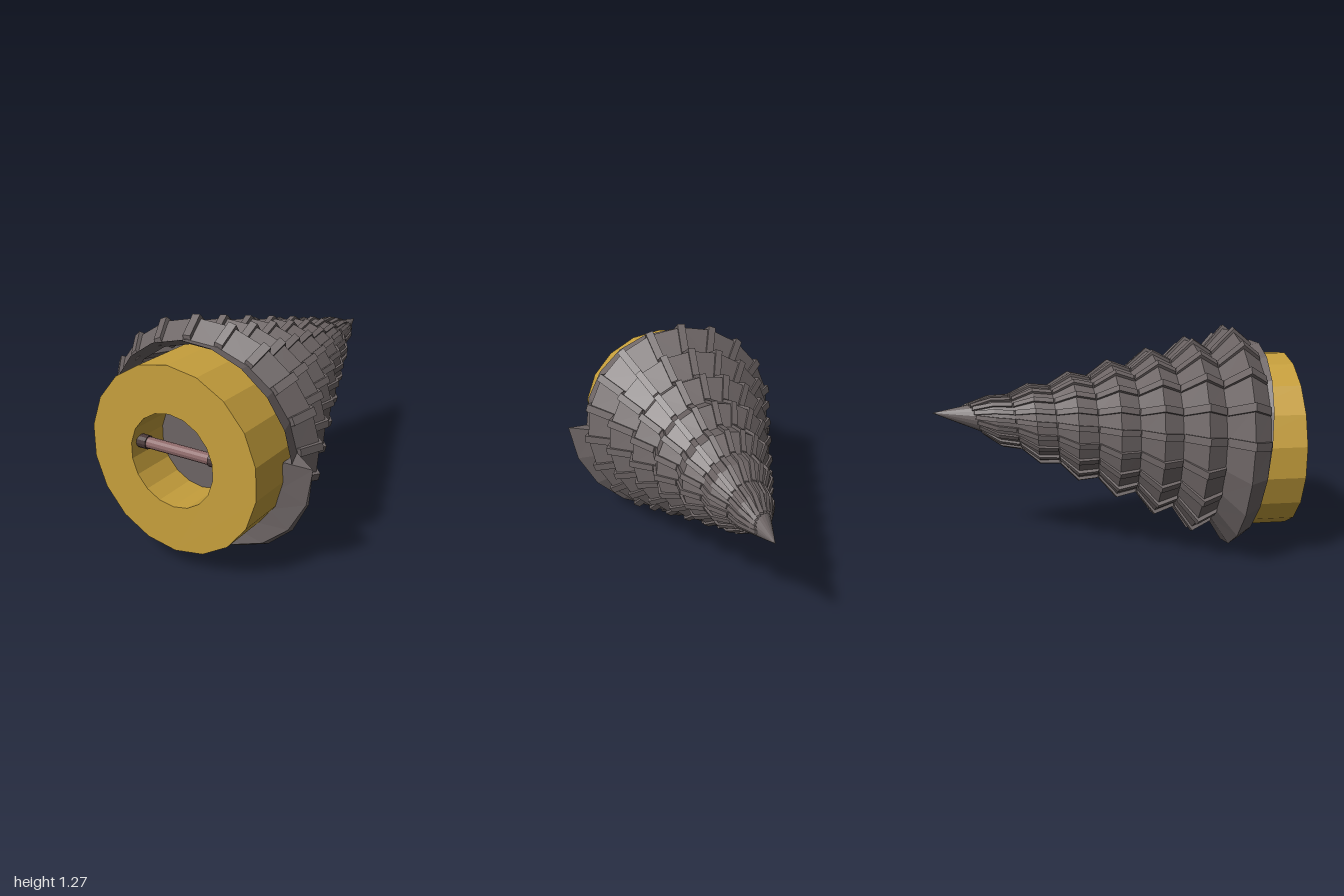
import * as THREE from 'three';

const STEPS = 19;          // facets (and ribs) per turn of the thread
const TURNS = 7;
const PITCH = 0.22;
const RIM = 1.785;         // distance from the tip to the open rim
const valleyR = w => 0.308 * w;
const crestR = w => 0.373 * w;

const mat = (color, side = THREE.FrontSide) =>
  new THREE.MeshStandardMaterial({ color, side, flatShading: true });

function add(parent, name, geometry, material) {
  const mesh = new THREE.Mesh(geometry, material);
  mesh.name = name;
  parent.add(mesh);
  return mesh;
}

// Thread cross-section after u turns, as [distance from tip, radius] from rim to tip
function profile(u) {
  const c = RIM - PITCH * u, h = PITCH / 2;
  const crest = [c, crestR(c)], back = [c - h, valleyR(c - h)];
  const k = Math.min(1, (RIM - c) / h);   // the first half turn is cut flat at the rim
  const front = [c + h * k, THREE.MathUtils.lerp(crestR(c), valleyR(c + h), k)];
  return { crest, back, front };
}

// Helical skin swept from the rim to the tip
function threadGeometry() {
  const pos = [], index = [], rows = STEPS * TURNS;
  for (let i = 0; i <= rows; i++) {
    const u = i / STEPS, a = -u * Math.PI * 2;
    const { crest, back, front } = profile(u);
    const first = u <= 1;
    const rim = first ? [RIM, u < 0.5 ? front[1] : valleyR(RIM)] : front;
    const lip = first ? [RIM - 0.1 * u, 0.5] : front;
    for (const [w, r] of [lip, rim, front, crest, back])
      pos.push(r * Math.cos(a), r * Math.sin(a), w);
    if (i < rows) for (let j = 0; j < 4; j++) {
      // the rim and lip exist on the first turn only
      if (j < 2 && i >= STEPS) continue;
      const p = i * 5 + j, q = p + 5;
      index.push(p, q, p + 1, q, q + 1, p + 1);
    }
  }
  index.push(0, 3, 4);                                  // blunt end at the rim
  const e = rows * 5;
  index.push(e + 2, e + 4, e + 3);                      // end near the tip
  const g = new THREE.BufferGeometry();
  g.setAttribute('position', new THREE.Float32BufferAttribute(pos, 3));
  g.setIndex(index);
  g.computeVertexNormals();
  return g;
}

// Chevron-shaped rib lying over the thread crest
function ribGeometry(u) {
  const { crest, back, front } = profile(u);
  const h = 0.008 + 0.013 * crest[0] / RIM;
  const width = 0.018 + 0.03 * crest[0] / RIM;
  const s = new THREE.Shape();
  s.moveTo(front[1] - h, front[0]);
  s.lineTo(front[1] + h, front[0] - 0.004);
  s.lineTo(crest[1] + h, crest[0]);
  s.lineTo(back[1] + h, back[0] + 0.004);
  s.lineTo(back[1] - h, back[0]);
  const g = new THREE.ExtrudeGeometry(s, { depth: width, bevelEnabled: false });
  g.translate(0, 0, -width / 2);
  const a = -u * Math.PI * 2;
  g.applyMatrix4(new THREE.Matrix4().makeBasis(
    new THREE.Vector3(Math.cos(a), Math.sin(a), 0),
    new THREE.Vector3(0, 0, 1),
    new THREE.Vector3(Math.sin(a), -Math.cos(a), 0)));
  return g;
}

function polygon(Type, radius) {
  const pts = [];
  for (let i = 0; i < 18; i++) {
    const a = Math.PI / 2 + i * Math.PI / 9;
    pts.push(new THREE.Vector2(radius * Math.cos(a), radius * Math.sin(a)));
  }
  return new Type(pts);
}

export function createModel() {
  const model = new THREE.Group();
  model.name = 'drill';
  const steel = mat(0x6c6464), steelSkin = mat(0x6c6464, THREE.DoubleSide);
  const gold = mat(0xc69f3c), rod = mat(0x8c6868), dark = mat(0x483838);

  // Tilted drill head, built with its tip at the origin
  const head = new THREE.Group();
  head.name = 'drillHead';
  head.position.set(-0.02, 0.824, -1);
  head.rotation.set(0.1066, 0.011, 0);
  model.add(head);
  add(head, 'thread', threadGeometry(), steelSkin);

  const tipLength = 0.36;
  const tip = new THREE.ConeGeometry(valleyR(tipLength), tipLength, STEPS);
  tip.rotateX(-Math.PI / 2).translate(0, 0, tipLength / 2);
  add(head, 'tip', tip, steel);

  const ribs = new THREE.Group();
  ribs.name = 'ribs';
  head.add(ribs);
  for (let i = 10; i <= STEPS * TURNS; i++) add(ribs, 'rib', ribGeometry(i / STEPS), steel);

  // Base collar with a recess for the handle
  const ring = polygon(THREE.Shape, 0.5);
  ring.holes.push(polygon(THREE.Path, 0.25));
  add(model, 'collar', new THREE.ExtrudeGeometry(ring, { depth: 0.41, bevelEnabled: false }), gold)
    .position.set(0, 0.61, 0.59);
  add(model, 'recessFloor', new THREE.ShapeGeometry(polygon(THREE.Shape, 0.25)), steelSkin)
    .position.set(0, 0.61, 0.75);

  // Handle bar across the recess
  const handle = new THREE.Group();
  handle.name = 'handle';
  handle.position.set(0, 0.64, 0.93);
  model.add(handle);
  add(handle, 'bar', new THREE.CylinderGeometry(0.03, 0.03, 0.4, 12).rotateZ(Math.PI / 2), rod);
  for (const side of [-1, 1])
    add(handle, 'barEnd', new THREE.CylinderGeometry(0.036, 0.036, 0.055, 12).rotateZ(Math.PI / 2), dark)
      .position.x = side * 0.218;

  return model;
}
